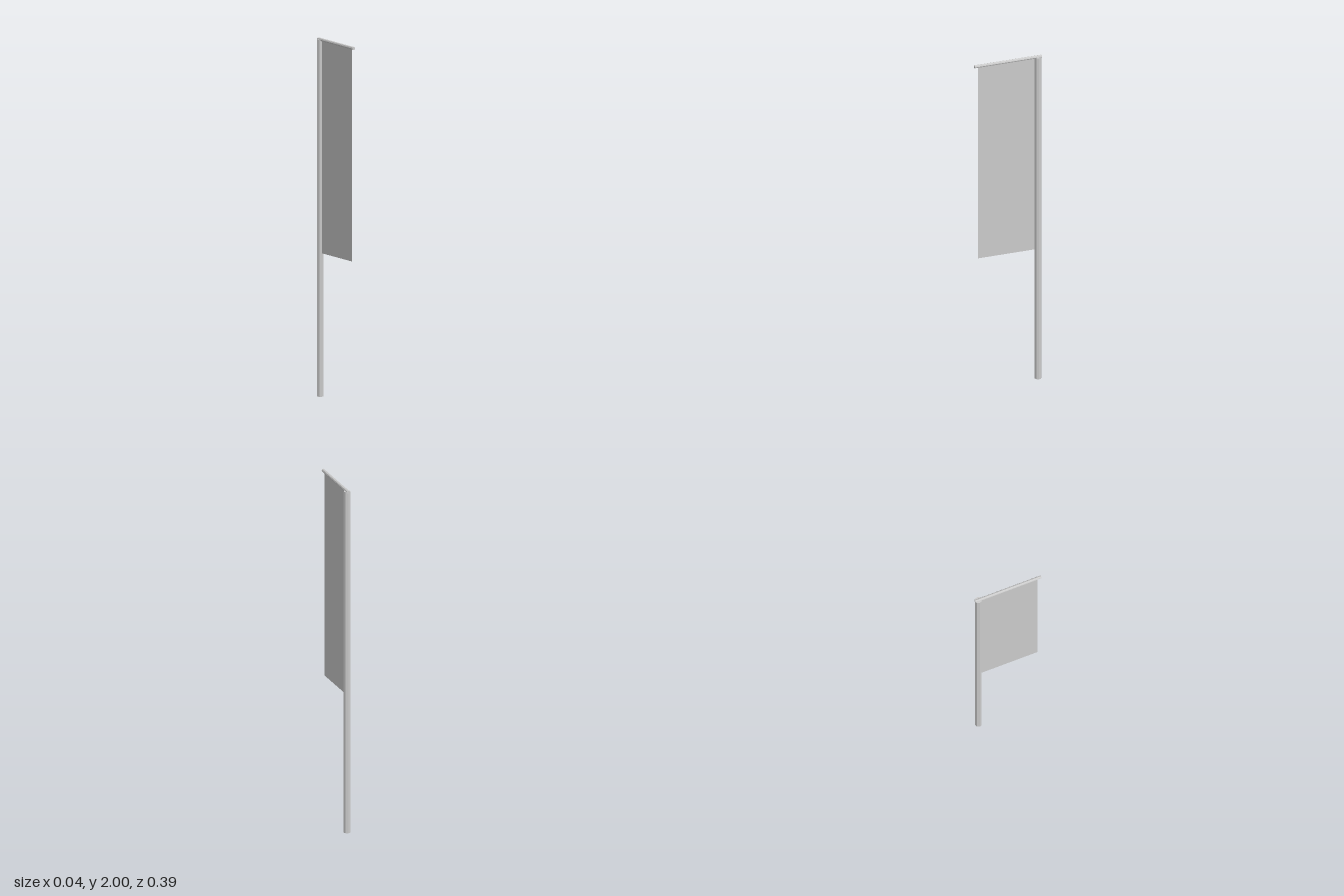
import * as THREE from 'three';

export function createModel() {
  const group = new THREE.Group();
  const metal = new THREE.MeshStandardMaterial({ color: 0xcccccc, flatShading: true });
  const cloth = new THREE.MeshStandardMaterial({ color: 0xcccccc, side: THREE.DoubleSide });
  const poleZ = -0.175, poleHeight = 1.99, barRadius = 0.009;

  // Eight-sided rod shared by the mast and the crossbar
  const rod = (name, radius, length) => {
    const mesh = new THREE.Mesh(new THREE.CylinderGeometry(radius, radius, length, 8), metal);
    mesh.name = name;
    group.add(mesh);
    return mesh;
  };

  // Upright mast at the back
  rod('pole', 0.0195, poleHeight).position.set(0, poleHeight / 2, poleZ);

  // Crossbar along the top, reaching forward
  const bar = rod('crossbar', barRadius, 0.392);
  bar.rotation.x = Math.PI / 2;
  bar.position.y = 2 - barRadius;

  // Flat banner hanging from the crossbar
  const top = 2 - barRadius, bottom = 0.8, front = 0.175;
  const banner = new THREE.Mesh(new THREE.PlaneGeometry(front - poleZ, top - bottom), cloth);
  banner.name = 'banner';
  banner.rotation.y = Math.PI / 2;
  banner.position.set(0, (top + bottom) / 2, (front + poleZ) / 2);
  group.add(banner);

  return group;
}
